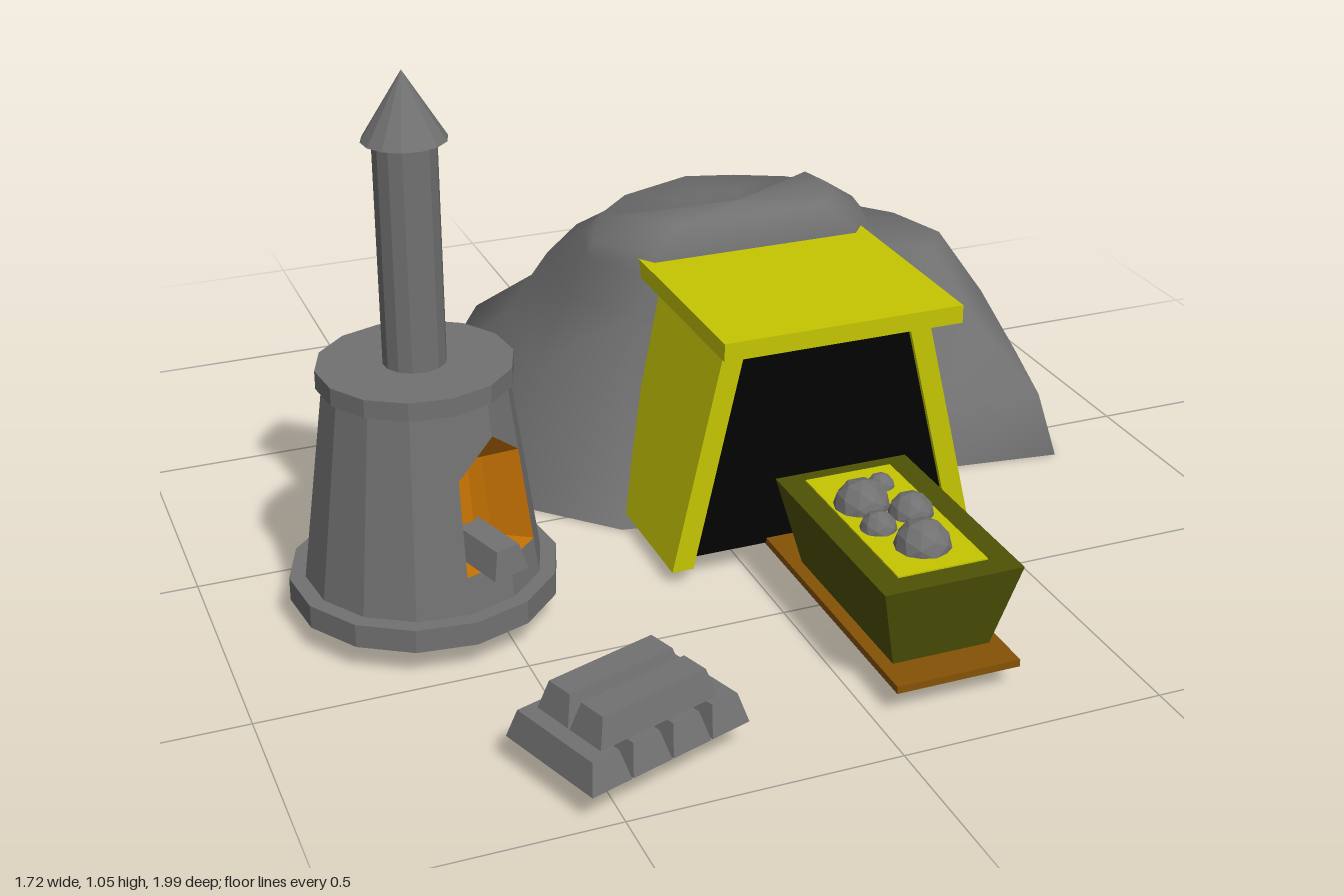
import * as THREE from 'three';

const mat = (name, color, double) => {
  const m = new THREE.MeshStandardMaterial({ color });
  m.name = name;
  if (double) m.side = THREE.DoubleSide;
  return m;
};
const stone = mat('stone grey', 0x717171, true);
const yellow = mat('yellow', 0xc6c602);
const olive = mat('dark olive', 0x4e5204);
const black = mat('tunnel black', 0x020202);
const orange = mat('fire orange', 0xc87404, true);
const brown = mat('track brown', 0x855206);

// faceted copy of a geometry
const flat = (g) => {
  const f = g.index ? g.toNonIndexed() : g;
  f.computeVertexNormals();
  return f;
};

function add(parent, name, geo, material, x = 0, y = 0, z = 0) {
  const m = new THREE.Mesh(geo, material);
  m.name = name;
  m.position.set(x, y, z);
  parent.add(m);
  return m;
}

// box standing on y = 0 whose top is scaled by sx, sz and shifted by dx
function taperBox(w, h, d, sx, sz, dx = 0) {
  const g = new THREE.BoxGeometry(w, h, d).translate(0, h / 2, 0);
  const p = g.attributes.position;
  for (let i = 0; i < p.count; i++)
    if (p.getY(i) > h / 2) p.setXYZ(i, p.getX(i) * sx + dx, h, p.getZ(i) * sz);
  return flat(g);
}

function surface(points, index) {
  const g = new THREE.BufferGeometry();
  g.setAttribute('position', new THREE.Float32BufferAttribute(points.flat(), 3));
  g.setIndex(index);
  g.computeVertexNormals();
  return g;
}

// hollow hill: closed contours [x, z] from the right of the entrance, round the back, to its left
function hillGeometry() {
  const foot = [[.475, .2], [.57, .09], [.8, .12], [.86, -.13], [.845, -.38], [.78, -.63],
    [.49, -.9], [.22, -1], [-.24, -.78], [-.4, -.55], [-.41, -.16], [-.17, .09]];
  const low = [[.43, .03], [.52, -.02], [.68, -.05], [.765, -.17], [.74, -.34], [.64, -.53],
    [.4, -.7], [.2, -.75], [-.12, -.62], [-.23, -.45], [-.26, -.17], [-.13, .02]];
  const high = [[.4, .01], [.5, -.06], [.6, -.1], [.66, -.18], [.62, -.32], [.52, -.44],
    [.34, -.55], [.18, -.59], [-.05, -.51], [-.16, -.38], [-.195, -.16], [-.1, .01]];
  const crown = [[.37, 0], [.41, -.05], [.43, -.1], [.44, -.16], [.42, -.25], [.36, -.32],
    [.26, -.37], [.16, -.4], [0, -.34], [-.09, -.25], [-.15, -.12], [-.06, 0]];
  const peak = crown.map(() => [.15, -.08]);
  const n = foot.length;
  const back = (i) => i > 4 && i < 10;
  const front = (i) => i === 0 || i === n - 1;
  const mix = (a, b, t) => a.map((p, i) => p.map((v, c) => v + (b[i][c] - v) * t(i)));
  const rings = [
    [foot, () => 0],
    [mix(foot, low, (i) => (front(i) ? .55 : .22)), (i) => (i > 5 && i < 9 ? .16 : .13)],
    [low, () => .27],
    [high, () => .42],
    [mix(high, crown, () => .75), (i) => (i > 0 && i < 6 ? .45 : .5)],
    [crown, () => .54],
    [mix(crown, peak, (i) => (back(i) ? .5 : .25)), (i) => (back(i) ? .565 : .59)],
    [peak, () => .6]];
  const pts = [], idx = [];
  rings.forEach(([ring, y]) => ring.forEach(([x, z], i) => pts.push([x, y(i), z])));
  for (let k = 0; k < rings.length - 1; k++)
    for (let i = 0; i < n; i++) {
      const a = k * n + i, b = k * n + (i + 1) % n;
      idx.push(a, b, b + n);
      if (k < rings.length - 2) idx.push(a, b + n, a + n);
    }
  return surface(pts, idx);
}

function makeFurnace() {
  const g = new THREE.Group();
  g.name = 'furnace';
  g.position.set(-.615, 0, .235);
  const sides = 14, step = Math.PI * 2 / sides, face = .56;
  const radius = (y) => .22 - .05 * (y - .1) / .375;
  const drum = (name, r0, r1, y0, y1, gap = 0, open = false) =>
    add(g, name, flat(new THREE.CylinderGeometry(r1, r0, y1 - y0, sides - 2 * gap, 1, open,
      face + gap * step, Math.PI * 2 - 2 * gap * step)), stone, 0, (y0 + y1) / 2, 0);
  drum('furnaceBase', .25, .25, .055, .1);
  drum('furnaceLowerWall', radius(.1), radius(.17), .1, .17, 0, true);
  drum('furnaceWall', radius(.17), radius(.41), .17, .41, 1, true);
  drum('furnaceUpperWall', radius(.41), radius(.475), .41, .475, 0, true);
  drum('furnaceRim', .18, .18, .475, .51);
  drum('chimney', .058, .058, .51, .93);
  drum('chimneyCap', .077, .0001, .93, 1.055);

  // gabled fire opening, its recess level at the back
  const at = (s, y, k = 1) => [radius(y) * k * Math.sin(face + s * step), y, radius(y) * k * Math.cos(face + s * step)];
  const inner = (s, y) => at(s, Math.min(y, .345), .62);
  const loop = [[-1, .17], [0, .17], [1, .17], [1, .35], [0, .41], [-1, .35]];
  const pts = [], idx = [];
  loop.forEach(([s, y], i) => {
    const [t, v] = loop[(i + 1) % 6];
    const b = pts.length;
    pts.push(at(s, y), at(t, v), inner(t, v), inner(s, y), inner(0, .27));
    idx.push(b, b + 2, b + 1, b, b + 3, b + 2, b + 3, b + 4, b + 2);
  });
  add(g, 'fireRecess', flat(surface(pts, idx)), orange);
  for (const s of [-1, 1])
    add(g, 'openingCorner', surface([at(s, .35), at(0, .41), at(s, .41)], s < 0 ? [0, 1, 2] : [0, 2, 1]), stone);

  // ingot sliding out of the opening
  const ingot = add(g, 'emergingIngot', taperBox(.075, .05, .15, .65, .85), stone, .075, .172, .155);
  ingot.rotation.set(.05, .35, 0, 'YXZ');
  return g;
}

function makeIngots() {
  const g = new THREE.Group();
  g.name = 'ingotStack';
  g.position.set(-.432, .055, .83);
  g.rotation.y = .33;
  for (let i = 0; i < 4; i++)
    add(g, 'lowerIngot', taperBox(.082, .053, .232, .68, .86), stone, (i - 1.5) * .085);
  for (const s of [-1, 1])
    add(g, 'upperIngot', taperBox(.25, .052, .082, .88, .68), stone, 0, .053, s * .043);
  return g;
}

function makeCart() {
  const g = new THREE.Group();
  g.name = 'mineCart';
  g.position.set(.157, 0, .635);
  add(g, 'cartBin', taperBox(.19, .165, .385, 1.42, 1.2), olive, 0, .065);
  add(g, 'cartFill', new THREE.BoxGeometry(.175, .006, .385), yellow, 0, .23, -.008);
  const rocks = [[-.032, -.075, .053], [.038, -.015, .043], [-.042, .015, .035], [.003, .1, .053], [.033, -.13, .027]];
  for (const [x, z, r] of rocks)
    add(g, 'rock', flat(new THREE.IcosahedronGeometry(r, 1)), stone, x, .231, z);
  return g;
}

function makeEntrance() {
  const g = new THREE.Group();
  g.name = 'tunnelEntrance';
  g.position.x = .157;
  // leaning side walls
  for (const s of [-1, 1])
    add(g, s < 0 ? 'rightWall' : 'leftWall', taperBox(.043, .462, .505, 1, 1, -s * .108), yellow, s * .294, .03, .0825);
  add(g, 'roof', new THREE.BoxGeometry(.485, .036, .51), yellow, 0, .508, .155);
  // dark opening
  const s = new THREE.Shape([[-.275, .05], [.275, .05], [.172, .49], [-.172, .49]].map((p) => new THREE.Vector2(...p)));
  add(g, 'tunnelDarkness', new THREE.ShapeGeometry(s), black, 0, 0, .325);
  return g;
}

export function createModel() {
  const model = new THREE.Group();
  model.name = 'mine';
  add(model, 'hill', hillGeometry(), stone);
  add(model, 'track', new THREE.BoxGeometry(.24, .014, 1.23), brown, .16, .053, .275);
  model.add(makeEntrance(), makeCart(), makeFurnace(), makeIngots());
  return model;
}
